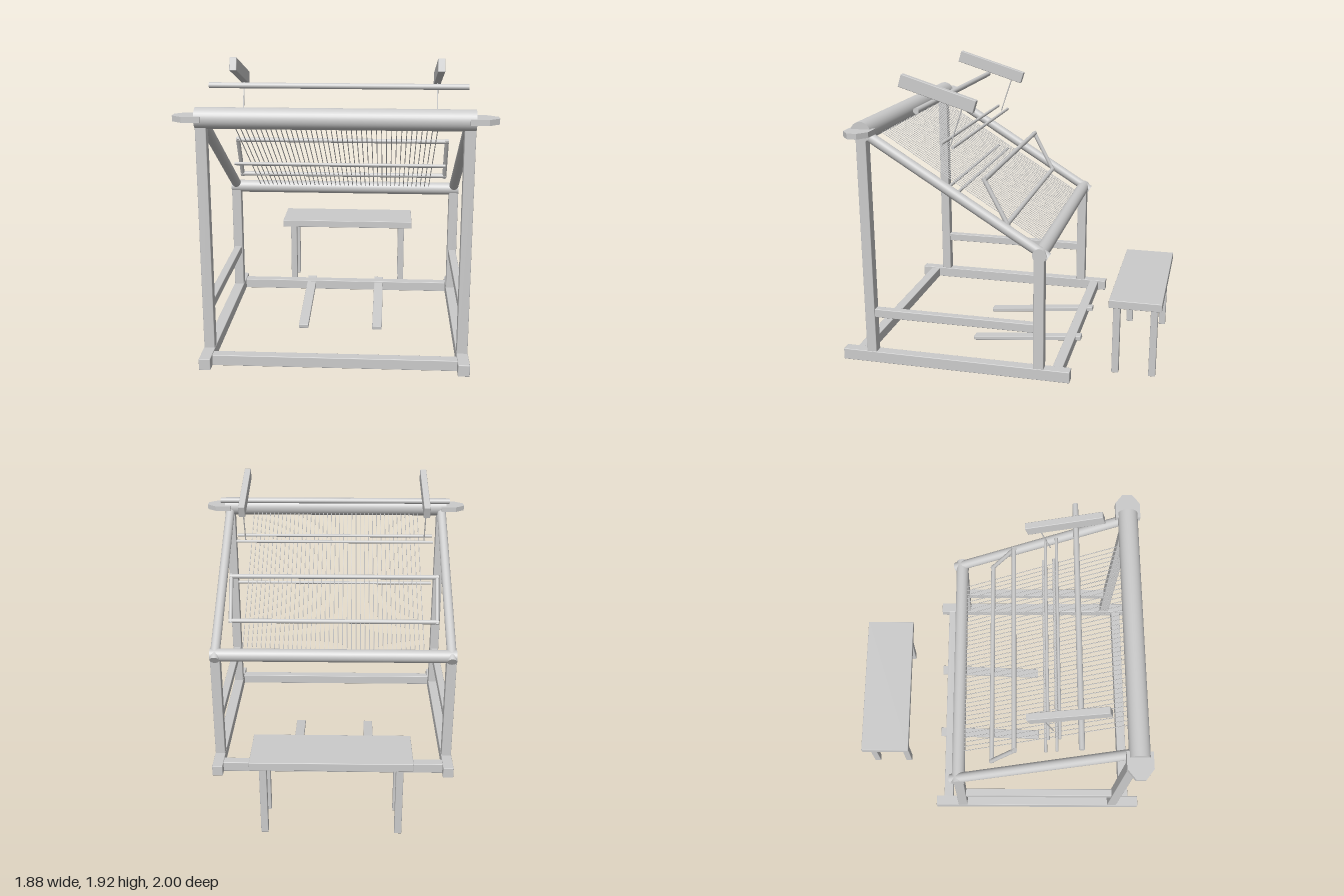
import * as THREE from 'three';
import { RoundedBoxGeometry } from 'three/addons/geometries/RoundedBoxGeometry.js';

export function createModel() {
  const model = new THREE.Group();
  const grey = new THREE.MeshStandardMaterial({ color: 0xcccccc });

  const add = (name, geometry, parent = model) => {
    const mesh = new THREE.Mesh(geometry, grey);
    mesh.name = name;
    parent.add(mesh);
    return mesh;
  };
  // Softly eased timber, given by its size and centre
  const timber = (name, w, h, d, x, y, z, parent) => {
    const mesh = add(name, new RoundedBoxGeometry(w, h, d, 1, 0.004), parent);
    mesh.position.set(x, y, z);
    return mesh;
  };
  // Round rod between two points
  const rod = (name, a, b, r, sides = 20, parent) => {
    const from = new THREE.Vector3(...a), to = new THREE.Vector3(...b);
    const dir = to.clone().sub(from);
    const mesh = add(name, new THREE.CylinderGeometry(r, r, dir.length(), sides), parent);
    mesh.position.copy(from).add(to).multiplyScalar(0.5);
    mesh.quaternion.setFromUnitVectors(new THREE.Vector3(0, 1, 0), dir.normalize());
    return mesh;
  };
  const crossRod = (name, halfLength, y, z, r, sides, parent) =>
    rod(name, [-halfLength, y, z], [halfLength, y, z], r, sides, parent);

  // Side frames
  for (const s of [-1, 1]) {
    const x = s * 0.775;
    const side = new THREE.Group();
    side.name = s > 0 ? 'leftSideFrame' : 'rightSideFrame';
    model.add(side);
    timber('footRail', 0.07, 0.073, 1.48, x, 0.123, 0.26, side);
    timber('frontPost', 0.065, 1.43, 0.065, x, 0.87, 0.807, side);
    timber('backPost', 0.065, 0.76, 0.065, x, 0.525, -0.284, side);
    timber('middleRail', 0.05, 0.055, 1.05, x, 0.423, 0.262, side);
    rod('slantedPole', [x, 1.585, 0.805], [x, 0.88, -0.335], 0.032, 24, side);
  }
  timber('frontFootRail', 1.5, 0.067, 0.065, 0, 0.12, 0.898);
  timber('backFootRail', 1.5, 0.067, 0.065, 0, 0.12, -0.392);

  // Warp and cloth beams
  crossRod('warpBeam', 0.808, 1.59, 0.805, 0.063, 32);
  crossRod('clothBeam', 0.808, 0.897, -0.287, 0.043, 28);

  // Flat tapered handles on the warp beam
  const outline = new THREE.Shape([
    [0.77, -0.079], [0.875, -0.079], [0.938, -0.03],
    [0.938, 0.03], [0.875, 0.079], [0.77, 0.079],
  ].map(([x, z]) => new THREE.Vector2(x, z)));
  for (const s of [0, 1]) {
    const geometry = new THREE.ExtrudeGeometry(outline, { depth: 0.034, bevelEnabled: false });
    geometry.translate(0, 0, -0.017).rotateX(Math.PI / 2).rotateY(s * Math.PI);
    add('beamHandle', geometry).position.set(0, 1.591, 0.805);
  }

  // Warp threads
  const threads = new THREE.Group();
  threads.name = 'warpThreads';
  model.add(threads);
  for (let i = 0; i <= 40; i++) {
    const x = -0.597 + i * 0.02985;
    rod('warpThread', [x, 1.58, 0.8], [x, 0.897, -0.29], 0.0028, 6, threads);
  }

  // Beater frame
  const beater = new THREE.Group();
  beater.name = 'beater';
  model.add(beater);
  crossRod('beaterTopBar', 0.705, 1.312, 0.075, 0.015, 16, beater);
  crossRod('beaterBottomBar', 0.705, 1.045, -0.065, 0.015, 16, beater);
  for (const s of [-1, 1]) {
    rod('beaterUpright', [s * 0.693, 1.325, 0.082], [s * 0.693, 1.032, -0.072], 0.014, 16, beater);
  }

  // Heddle rods, in an upper and a lower pair
  for (const drop of [0, 0.3]) {
    crossRod('heddleRod', 0.672, 1.513 - drop, 0.347, 0.01, 14);
    crossRod('heddleRod', 0.672, 1.492 - drop, 0.277, 0.01, 14);
  }

  // Overhead rod, tilted levers and their cords
  crossRod('overheadRod', 0.793, 1.73, 0.456, 0.018, 20);
  for (const s of [-1, 1]) {
    const x = s * 0.614;
    timber('lever', 0.043, 0.08, 0.489, x, 1.808, 0.381).rotation.x = -0.3;
    rod('leverCord', [x, 1.73, 0.228], [x, 1.49, 0.309], 0.004, 8);
  }

  // Treadles sloping up to the back foot rail
  for (const s of [-1, 1]) {
    timber('treadle', 0.065, 0.028, 0.745, s * 0.249, 0.104, -0.09).rotation.x = 0.102;
  }

  // Bench
  const bench = new THREE.Group();
  bench.name = 'bench';
  model.add(bench);
  timber('benchSeat', 0.988, 0.053, 0.333, 0, 0.499, -0.8335, bench);
  for (const x of [-0.415, 0.415]) {
    for (const z of [-0.712, -0.95]) timber('benchLeg', 0.045, 0.48, 0.045, x, 0.24, z, bench);
  }

  return model;
}
